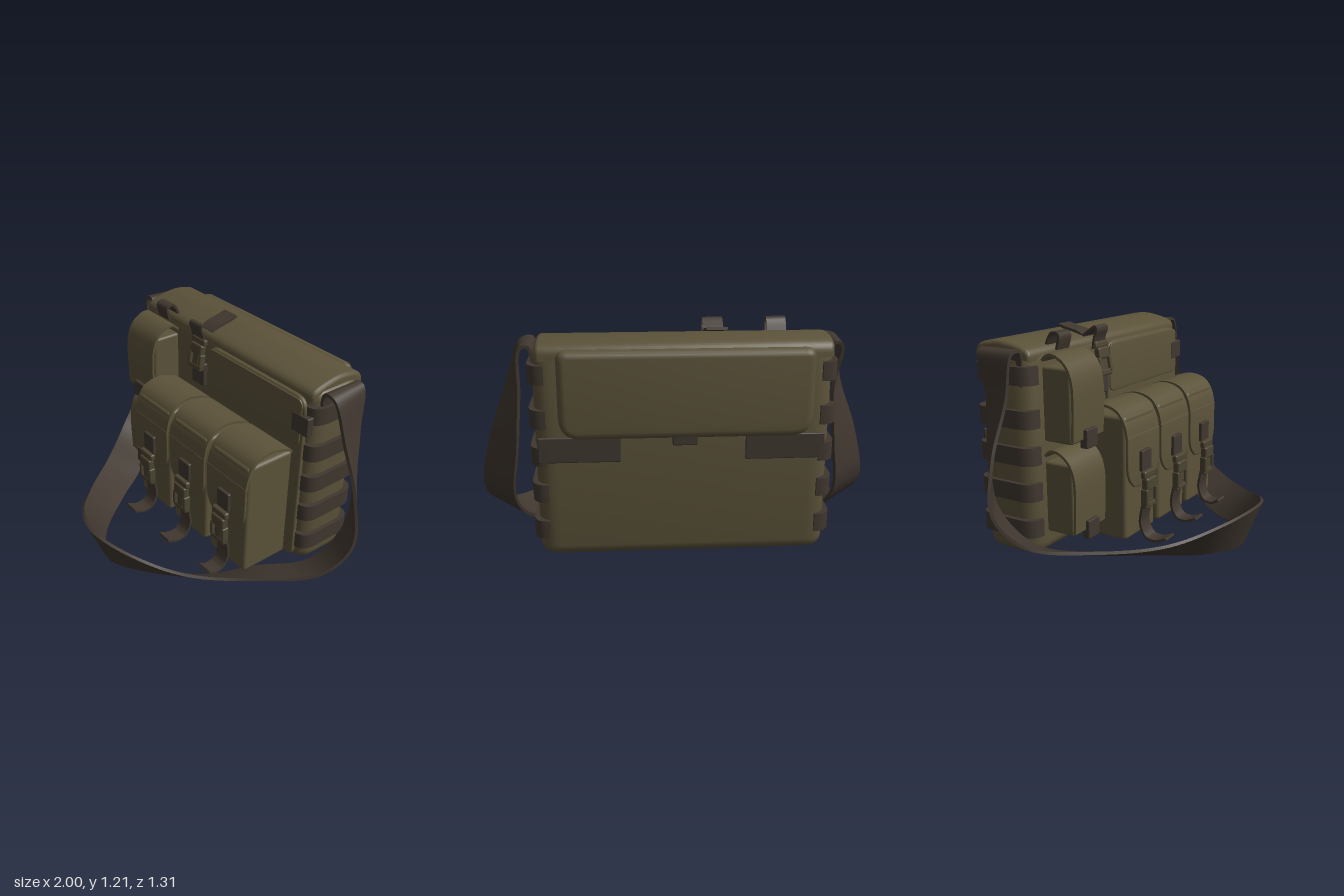
import * as THREE from 'three';
import { toCreasedNormals } from 'three/addons/utils/BufferGeometryUtils.js';
import { RoundedBoxGeometry } from 'three/addons/geometries/RoundedBoxGeometry.js';

export function createModel() {
  const olive = new THREE.MeshStandardMaterial({ name: 'olive fabric', color: 0x5b5239 });
  const webbing = new THREE.MeshStandardMaterial({ name: 'dark webbing', color: 0x40372f });
  const plastic = new THREE.MeshStandardMaterial({ name: 'buckle plastic', color: 0x4b4331 });
  const bag = new THREE.Group();
  bag.name = 'messengerBag';

  const add = (name, geo, mat, parent = bag) => {
    const m = new THREE.Mesh(geo, mat);
    m.name = name;
    parent.add(m);
    return m;
  };
  // Rounded box given by its limits on each axis
  const box = (name, x0, x1, y0, y1, z0, z1, mat, parent = bag, r = 0.006) => {
    const s = [x1 - x0, y1 - y0, z1 - z0];
    const m = add(name, new RoundedBoxGeometry(...s, 2, Math.min(r, Math.min(...s) * 0.45)), mat, parent);
    m.position.set((x0 + x1) / 2, (y0 + y1) / 2, (z0 + z1) / 2);
    return m;
  };
  // Rectangle with its own radius for the lower (rb) and upper (rt) corners
  const roundRect = (x0, x1, y0, y1, rb, rt = rb) => {
    const s = new THREE.Shape();
    s.moveTo(x0 + rb, y0).lineTo(x1 - rb, y0).quadraticCurveTo(x1, y0, x1, y0 + rb);
    s.lineTo(x1, y1 - rt).quadraticCurveTo(x1, y1, x1 - rt, y1);
    s.lineTo(x0 + rt, y1).quadraticCurveTo(x0, y1, x0, y1 - rt);
    s.lineTo(x0, y0 + rb).quadraticCurveTo(x0, y0, x0 + rb, y0);
    return s;
  };
  const extrude = (shape, depth, bevel = 0, segs = 3) => toCreasedNormals(new THREE.ExtrudeGeometry(shape, {
    depth: depth - 2 * bevel, bevelEnabled: bevel > 0, bevelSize: bevel, bevelThickness: bevel,
    bevelOffset: -bevel, bevelSegments: segs, curveSegments: 8,
  }).translate(0, 0, bevel), 0.7);
  // Extrusion of a side outline, points as [z, y], from x0 to x1
  const extrudeX = (pts, x0, x1, bevel = 0) => extrude(
    new THREE.Shape(pts.map(([z, y]) => new THREE.Vector2(-z, y))), x1 - x0, bevel)
    .rotateY(Math.PI / 2).translate(x0, 0, 0);
  const spline = (pts, n) => new THREE.SplineCurve(pts.map((p) => new THREE.Vector2(...p)))
    .getPoints(n).map((v) => [v.x, v.y]);
  // Bent sheet following a [z, y] path
  const band = (name, path, x0, x1, th, mat, parent = bag) => {
    const c = new THREE.SplineCurve(path.map((p) => new THREE.Vector2(...p)));
    const a = [], b = [];
    for (let i = 0; i <= 24; i++) {
      const p = c.getPoint(i / 24), t = c.getTangent(i / 24);
      a.push([p.x - t.y * th / 2, p.y + t.x * th / 2]);
      b.unshift([p.x + t.y * th / 2, p.y - t.x * th / 2]);
    }
    return add(name, extrudeX([...a, ...b], x0, x1), mat, parent);
  };
  // Plan shapes (x, -z) become upright solids starting at y0
  const upright = (shape, y0, h, bevel = 0) =>
    extrude(shape, h, bevel, 4).rotateX(-Math.PI / 2).translate(0, y0, 0);

  // Main compartment, domed lid and flat front pocket
  add('mainBody', upright(roundRect(-0.755, 0.7, 0.245, 0.59, 0.11), 0.06, 1.08, 0.06), olive);
  const lidSide = spline([[-0.25, 1.08], [-0.252, 1.115], [-0.28, 1.142], [-0.36, 1.164], [-0.45, 1.175], [-0.55, 1.16], [-0.592, 1.13], [-0.6, 1.08]], 28);
  add('lid', extrudeX(lidSide, -0.745, 0.675, 0.02), olive);
  add('frontPocket', extrude(roundRect(-0.11, 0.655, 0.1, 1.1, 0.05, 0.08), 0.03, 0.012).translate(0, 0, -0.25), olive);
  add('frontPocketFlap', extrude(roundRect(-0.1, 0.64, 0.82, 1.09, 0.04), 0.012, 0.005).translate(0, 0, -0.224), olive);
  box('pocketTab', 0.58, 0.695, 0.905, 1.01, -0.25, -0.208, webbing);

  // Webbing bands wrapped around both ends
  for (const y of [0.215, 0.41, 0.6, 0.79, 1.01]) {
    for (const side of [1, -1]) {
      const end = side > 0 ? 0.722 : 0.778, inner = end - 0.085;
      const s = new THREE.Shape();
      s.moveTo(inner, 0.236).quadraticCurveTo(end, 0.232, end, 0.33).lineTo(end, 0.505);
      s.quadraticCurveTo(end, 0.602, inner, 0.598).lineTo(inner, 0.236);
      const m = add('endBand', upright(s, y - 0.047, 0.094), webbing);
      if (side < 0) {
        m.rotation.z = Math.PI;
        m.position.y = 2 * y;
      }
    }
  }

  // Back flap pocket with webbing patches and pull tab
  add('backFlap', extrude(roundRect(-0.65, 0.575, 0.7, 1.135, 0.11, 0.05), 0.08, 0.035).translate(0, 0, -0.652), olive);
  box('backPatch', 0.28, 0.68, 0.57, 0.7, -0.597, -0.58, webbing);
  box('backPatch', -0.72, -0.33, 0.57, 0.7, -0.597, -0.58, webbing);
  box('backTab', -0.09, 0.03, 0.665, 0.725, -0.64, -0.585, webbing);

  // Three large front pouches with lid, buckle and loose strap end
  [-0.24, 0.1, 0.44].forEach((cx, i) => {
    const g = new THREE.Group();
    g.name = 'largePouch';
    g.position.x = cx;
    bag.add(g);
    box('pouchBox', -0.148, 0.148, 0.09, 0.768, -0.245, 0.067, olive, g, 0.02);
    band('pouchLid', [[-0.235, 0.755], [-0.19, 0.79], [-0.08, 0.82], [0.015, 0.797], [0.065, 0.73], [0.083, 0.65]],
      -0.156, 0.156, 0.014, olive, g);
    const f = new THREE.Shape();
    f.moveTo(-0.156, 0.66).lineTo(-0.156, 0.49).quadraticCurveTo(-0.15, 0.42, -0.09, 0.38);
    f.quadraticCurveTo(0, 0.36, 0.09, 0.38).quadraticCurveTo(0.15, 0.42, 0.156, 0.49).lineTo(0.156, 0.66);
    add('pouchFlap', extrude(f, 0.016, 0.004).translate(0, 0, 0.075), olive, g);
    box('buckleAnchor', -0.047, 0.047, 0.455, 0.57, 0.08, 0.11, webbing, g);
    buckle(g, 0.25, 0.46, 0.102, 0.145);
    const tip = i === 2 ? 0.225 : 0.25;
    band('strapEnd', [[0.115, 0.31], [0.1, 0.24], [0.09, 0.16], [0.12, 0.09], [0.18, 0.075], [tip, 0.1]], -0.045, 0.045, 0.014, webbing, g);
  });

  // Side release buckle: ladder frame, prongs and clip
  function buckle(parent, y0, y1, z0, z1) {
    const h = y1 - y0, ym = y0 + h * 0.48;
    box('buckleClip', -0.05, 0.05, ym, y1 - h * 0.18, z0, z1, plastic, parent, 0.012);
    box('buckleLoop', -0.058, 0.058, y1 - h * 0.2, y1, z0, z1 - 0.01, plastic, parent, 0.01);
    box('buckleCore', -0.028, 0.028, y0 + 0.02, ym + 0.02, z0, z1 - 0.008, plastic, parent, 0.01);
    for (const s of [-1, 1]) {
      box('buckleProng', s * 0.046 - 0.01, s * 0.046 + 0.01, y0 + 0.02, ym + 0.01, z0, z1, plastic, parent, 0.008);
    }
    box('buckleBar', -0.055, 0.055, y0, y0 + 0.035, z0, z1 - 0.005, plastic, parent, 0.01);
  }

  // Two small stacked pouches on the model's right
  for (const [y0, y1] of [[0.18, 0.63], [0.665, 1.12]]) {
    box('smallPouch', -0.66, -0.415, y0, y1 - 0.07, -0.245, -0.07, olive, bag, 0.015);
    band('smallPouchFlap', [[-0.235, y1 - 0.04], [-0.2, y1 - 0.012], [-0.15, y1 - 0.015], [-0.09, y1 - 0.06], [-0.058, y1 - 0.14],
      [-0.053, y1 - 0.26], [-0.06, y0 + 0.02]], -0.67, -0.408, 0.014, olive);
    box('smallPouchTab', -0.585, -0.49, y0 - 0.03, y0 + 0.07, -0.075, -0.03, webbing);
  }
  band('upperPouchTab', [[-0.285, 1.14], [-0.25, 1.2], [-0.205, 1.19], [-0.22, 1.12]], -0.57, -0.47, 0.014, webbing);

  // Lid closure: raised webbing, tilted buckle and hanging tab
  band('closureStrap', [[-0.45, 1.195], [-0.4, 1.18], [-0.33, 1.165], [-0.28, 1.14]], -0.25, -0.145, 0.014, webbing);
  band('closureLoop', [[-0.29, 1.145], [-0.25, 1.175], [-0.21, 1.2], [-0.2, 1.18], [-0.215, 1.14], [-0.225, 1.08]], -0.25, -0.145, 0.012, webbing);
  const closure = new THREE.Group();
  closure.name = 'closureBuckle';
  closure.position.set(-0.185, 0.94, -0.19);
  closure.rotation.x = -0.15;
  bag.add(closure);
  buckle(closure, -0.01, 0.18, -0.02, 0.02);
  box('closureTab', -0.235, -0.13, 0.83, 0.97, -0.235, -0.205, webbing);

  // Shoulder strap: outer and inner edges from one end to the front middle
  const outer = [[0.69, 0.95, -0.3], [0.71, 1.13, -0.29], [0.77, 1.12, -0.295], [0.85, 0.9, -0.315], [0.945, 0.62, -0.335], [0.996, 0.35, -0.305],
    [0.935, 0.205, -0.16], [0.72, 0.155, 0.1], [0.48, 0.165, 0.38], [0.24, 0.235, 0.57], [0, 0.275, 0.648]];
  const inner = [[0.69, 0.95, -0.52], [0.71, 1.13, -0.52], [0.75, 1.12, -0.52], [0.765, 0.9, -0.515], [0.79, 0.62, -0.5], [0.825, 0.33, -0.43],
    [0.76, 0.135, -0.25], [0.57, 0.065, -0.03], [0.41, 0.008, 0.2], [0.2, 0.04, 0.46], [0, 0.04, 0.56]];
  const edge = (half) => {
    const left = half.map(([x, y, z], i) => [-x - (i < 3 ? 0.05 : 0), i === 8 ? Math.max(y, 0.055) : y, z]);
    const all = [...half, ...left.slice(0, -1).reverse()];
    return new THREE.CatmullRomCurve3(all.map((p) => new THREE.Vector3(...p)));
  };
  const co = edge(outer), ci = edge(inner), N = 160, pos = [], idx = [];
  for (let i = 0; i <= N; i++) {
    const o = co.getPoint(i / N), n = ci.getPoint(i / N);
    const t = co.getTangent(i / N).add(ci.getTangent(i / N));
    const off = t.cross(n.clone().sub(o)).normalize().multiplyScalar(0.008);
    for (const [p, s] of [[o, -1], [n, -1], [n, 1], [o, 1]]) pos.push(...p.clone().addScaledVector(off, s).toArray());
    if (i === N) break;
    for (let k = 0; k < 4; k++) {
      const a = i * 4 + k, b = i * 4 + (k + 1) % 4;
      idx.push(a, b, b + 4, a, b + 4, a + 4);
    }
  }
  const strap = new THREE.BufferGeometry();
  strap.setAttribute('position', new THREE.Float32BufferAttribute(pos, 3));
  strap.setIndex(idx);
  add('shoulderStrap', toCreasedNormals(strap, 0.8), webbing);

  return bag;
}
